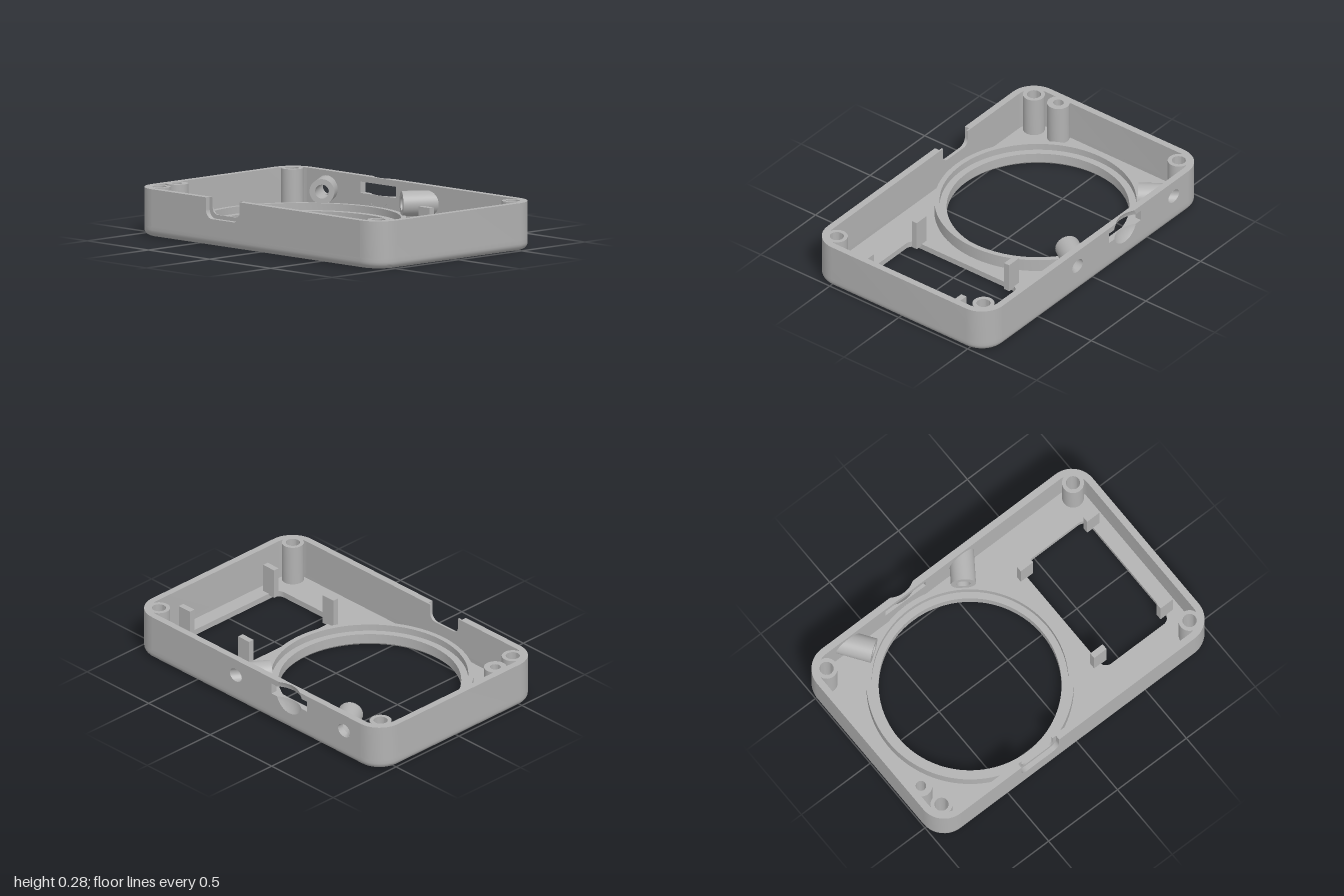
import * as THREE from 'three';
import { mergeGeometries, toCreasedNormals } from 'three/addons/utils/BufferGeometryUtils.js';

const W = 0.635, D = 1, H = 0.275, R = 0.15, WALL = 0.04;
const FLOOR = 0.035, GROOVE = 0.022, SPLIT = 0.06;
const RING_Z = -0.275, PORT_Z = -0.27;

// Skin between rows of points; skip(j) leaves out a column
function loft(rows, closed, skip = () => false) {
  const n = rows[0].length, idx = [];
  for (let i = 0; i < rows.length - 1; i++) {
    for (let j = 0; j < (closed ? n : n - 1); j++) {
      if (skip(j)) continue;
      const k = (j + 1) % n, a = i * n, b = a + n;
      idx.push(a + j, b + j, b + k, a + j, b + k, a + k);
    }
  }
  const g = new THREE.BufferGeometry();
  g.setAttribute('position', new THREE.Float32BufferAttribute(rows.flat(2), 3));
  g.setIndex(idx);
  return toCreasedNormals(g, 0.6);
}

// Rounded rectangle ring of the case at a given inset and height
const ARC = 10;
function caseLoop([inset, y]) {
  const pts = [], r = R - inset;
  for (let k = 0; k < 4; k++) {
    const cx = (k === 0 || k === 3 ? 1 : -1) * (W - R), cz = (k < 2 ? 1 : -1) * (D - R);
    for (let i = 0; i <= ARC; i++) {
      const a = (k + i / ARC) * Math.PI / 2;
      pts.push([cx + r * Math.cos(a), y, cz + r * Math.sin(a)]);
    }
  }
  return pts;
}

function roundRect(T, x0, y0, x1, y1, r) {
  const p = new T();
  p.absarc(x1 - r, y1 - r, r, 0, Math.PI / 2);
  p.absarc(x0 + r, y1 - r, r, Math.PI / 2, Math.PI);
  p.absarc(x0 + r, y0 + r, r, Math.PI, Math.PI * 1.5);
  p.absarc(x1 - r, y0 + r, r, Math.PI * 1.5, Math.PI * 2);
  p.closePath();
  return p;
}
const caseOutline = (T, inset) => roundRect(T, inset - W, inset - D, W - inset, D - inset, R - inset);
const circle = (x, y, r) => new THREE.Path().absarc(x, y, r, 0, Math.PI * 2);

// Horizontal plate from a shape in (x, -z)
function plate(shape, y0, y1, curveSegments = 24) {
  return new THREE.ExtrudeGeometry(shape, { depth: y1 - y0, bevelEnabled: false, curveSegments })
    .rotateX(-Math.PI / 2).translate(0, y0, 0);
}
// Upright side panel from a shape in (-z, y)
function panel(shape, x0, x1) {
  return new THREE.ExtrudeGeometry(shape, { depth: x1 - x0, bevelEnabled: false, curveSegments: 24 })
    .rotateY(Math.PI / 2).translate(x0, 0, 0);
}
function lathe(pts, segments) {
  const g = new THREE.LatheGeometry(pts.map(p => new THREE.Vector2(...p)), segments);
  return toCreasedNormals(g, 0.6);
}

export function createModel() {
  const group = new THREE.Group();
  const grey = new THREE.MeshStandardMaterial({ color: 0xb2b2b2, side: THREE.DoubleSide });
  grey.name = 'grey plastic';
  const add = (name, geo, x = 0, y = 0, z = 0) => {
    const m = new THREE.Mesh(geo, grey);
    m.name = name;
    m.position.set(x, y, z);
    group.add(m);
  };

  // Filleted base of the wall, then the upper wall without its long sides
  const base = [];
  for (let i = 0; i <= 6; i++) {
    const a = i / 6 * Math.PI / 2;
    base.push([0.04 * (1 - Math.sin(a)), 0.04 * (1 - Math.cos(a))]);
  }
  base.push([0, SPLIT]);
  add('wallBase', loft(base.map(caseLoop), true));
  add('wallBaseInside', loft([[WALL, SPLIT], [WALL, 0.02]].map(caseLoop), true));
  const longSide = j => j === 2 * ARC + 1 || j === 4 * ARC + 3;
  add('endWalls', loft([[0, SPLIT], [0, H], [WALL, H], [WALL, SPLIT]].map(caseLoop), true, longSide));

  // Left wall: port slot, round finger dent and two angled bores
  const s0 = -PORT_Z, E = D - R, dentY = 0.21, dentR = 0.105, slot = [0.175, 0.24];
  const half = y => Math.sqrt(Math.max(0, dentR ** 2 - (y - dentY) ** 2));
  const ang = y => Math.asin((y - dentY) / dentR);
  const left = new THREE.Shape();
  left.moveTo(-E, SPLIT).lineTo(E, SPLIT).lineTo(E, H);
  left.absarc(s0, dentY, dentR, ang(H), ang(slot[1]), true);
  left.lineTo(s0 + 0.145, slot[1]).lineTo(s0 + 0.145, slot[0]);
  left.absarc(s0, dentY, dentR, ang(slot[0]), -Math.PI - ang(slot[0]), true);
  left.lineTo(s0 - 0.145, slot[0]).lineTo(s0 - 0.145, slot[1]);
  left.absarc(s0, dentY, dentR, Math.PI - ang(slot[1]), Math.PI - ang(H), true);
  left.lineTo(-E, H).closePath();
  const tubeY = 0.175, boreR = 0.04, ax = 0.82, az = 0.572;
  for (const s of [0.715, -0.165]) {
    left.holes.push(new THREE.Path().absellipse(s, tubeY, boreR / ax, boreR, 0, Math.PI * 2));
  }
  add('leftWall', panel(left, W - WALL, W));

  // Hollowed skin of the dent, below and above the slot
  const dentDepth = 0.124, sphereR = 0.1625;
  for (const [y0, y1] of [[0.106, slot[0]], [slot[1], H]]) {
    const front = [], back = [];
    for (let i = 0; i <= 8; i++) {
      const y = y0 + (y1 - y0) * i / 8, f = [], b = [];
      for (let j = 0; j <= 16; j++) {
        const dz = half(y) * (j / 8 - 1);
        const x = W + dentDepth - Math.sqrt(sphereR ** 2 - (y - dentY) ** 2 - dz ** 2);
        f.push([x, y, PORT_Z + dz]);
        b.push([W - WALL, y, PORT_Z + dz]);
      }
      front.push(f);
      back.unshift(b);
    }
    add('fingerDent', loft([...front, ...back, front[0]], false));
  }

  // Angled tubes ending in the left wall
  for (const side of [-1, 1]) {
    const z = RING_Z + side * 0.325;
    const row = (r, xEnd) => Array.from({ length: 32 }, (_, i) => {
      const a = i / 32 * Math.PI * 2, c = r * Math.cos(a);
      const p = [0.47 - side * az * c, tubeY + r * Math.sin(a), z + ax * c];
      const t = xEnd ? (xEnd - p[0]) / ax : 0;
      return [p[0] + ax * t, p[1], p[2] + side * az * t];
    });
    add('angledTube', loft([row(boreR, W), row(boreR), row(0.072), row(0.072, W - 0.02)], true));
  }

  // Right wall: open notch with a wider recess on the outside
  const notched = (w, y, r) => {
    const p = new THREE.Shape();
    p.moveTo(-E, SPLIT).lineTo(E, SPLIT).lineTo(E, H).lineTo(s0 + w, H).lineTo(s0 + w, y + r);
    p.absarc(s0 + w - r, y + r, r, 0, -Math.PI / 2, true);
    p.absarc(s0 - w + r, y + r, r, -Math.PI / 2, -Math.PI, true);
    p.lineTo(s0 - w, H).lineTo(-E, H).closePath();
    return p;
  };
  add('rightWallOuter', panel(notched(0.137, 0.155, 0.05), -W, -W + 0.03));
  add('rightWallInner', panel(notched(0.113, 0.178, 0.04), -W + 0.03, -W + WALL));

  // Floor with its openings, and the rims on its underside
  const win = [-0.39, -0.87, 0.39, -0.39], hole = [-0.365, 0.922];
  const floor = caseOutline(THREE.Shape, WALL);
  floor.holes.push(circle(0, -RING_Z, 0.55), roundRect(THREE.Path, ...win, 0.05), circle(...hole, 0.03));
  add('floor', plate(floor, GROOVE, FLOOR, 48));
  const rim = caseOutline(THREE.Shape, WALL);
  rim.holes.push(caseOutline(THREE.Path, 0.045));
  add('undersideRim', plate(rim, 0, GROOVE));
  const frame = roundRect(THREE.Shape, win[0] - 0.025, win[1] - 0.025, win[2] + 0.025, win[3] + 0.025, 0.07);
  frame.holes.push(roundRect(THREE.Path, ...win, 0.05));
  add('windowFrame', plate(frame, 0, GROOVE));

  // Concentric ridges on the underside
  const inside = (x, s) => {
    const qx = Math.max(Math.abs(x) - (W - R), 0), qs = Math.max(Math.abs(s) - (D - R), 0);
    return Math.hypot(qx, qs) < R - 0.043
      && !(Math.abs(x) < 0.405 && Math.abs(s + 0.63) < 0.255)
      && Math.hypot(x - hole[0], s - hole[1]) > 0.042;
  };
  const ridges = [], N = 720;
  for (let r = 0.615; r < 1.36; r += 0.024) {
    let start = -1;
    for (let i = 0; i <= N; i++) {
      const a = i / N * Math.PI * 2;
      const ok = i < N && inside(r * Math.cos(a), -RING_Z + r * Math.sin(a));
      if (ok && start < 0) start = a;
      if (!ok && start >= 0) {
        const end = a - Math.PI * 2 / N;
        if (end - start > 0.01) {
          const arc = new THREE.Shape();
          arc.absarc(0, -RING_Z, r + 0.006, start, end, false);
          arc.absarc(0, -RING_Z, r - 0.006, end, start, true);
          arc.closePath();
          ridges.push(plate(arc, 0, GROOVE, Math.max(2, Math.ceil((end - start) / 0.05))));
        }
        start = -1;
      }
    }
  }
  add('undersideRidges', mergeGeometries(ridges));

  // Stepped ring around the large round opening
  add('roundSeat', lathe([[0.595, 0], [0.595, 0.03], [0.59, 0.03], [0.59, 0.11], [0.56, 0.11],
    [0.56, 0.07], [0.52, 0.07], [0.52, 0.012], [0.53, 0], [0.595, 0]], 96), 0, 0, RING_Z);

  // Corner screw posts and the post with a through hole
  const post = lathe([[0.063, 0.025], [0.063, H], [0.04, H], [0.04, 0.06], [0, 0.06]], 32);
  for (const x of [-1, 1]) {
    add('screwPost', post, x * 0.525, 0, -0.9);
    add('screwPost', post, x * 0.532, 0, 0.895);
  }
  add('throughPost', lathe([[0.037, 0], [0.037, 0.03], [0.065, 0.03], [0.065, H],
    [0.03, H], [0.03, 0], [0.037, 0]], 32), hole[0], 0, -hole[1]);

  // Upright clips around the window
  const clip = new THREE.BoxGeometry(0.036, 0.18, 0.09);
  for (const x of [-0.335, 0.335]) for (const z of [0.39, 0.872]) add('windowClip', clip, x, 0.115, z);

  return group;
}
